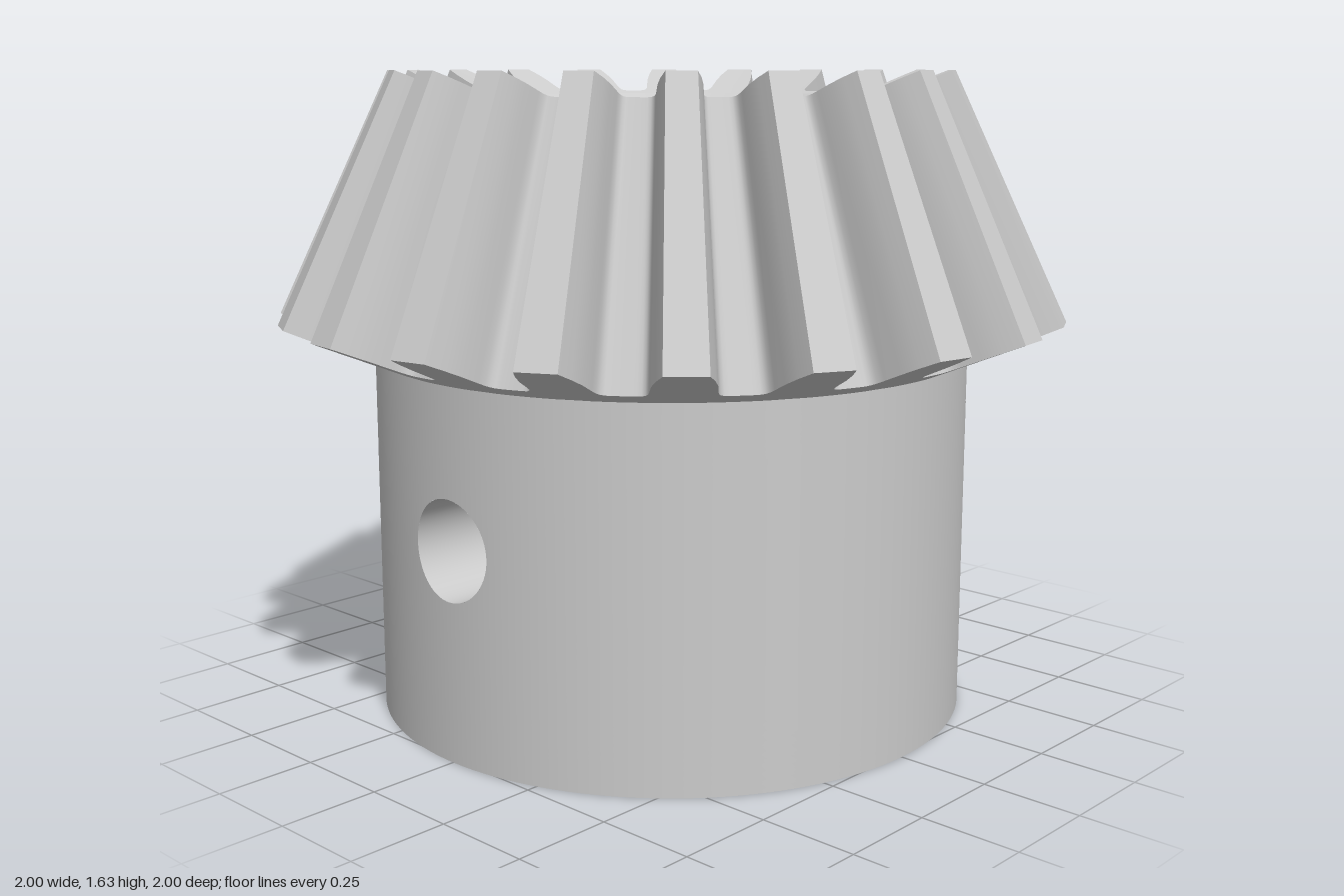
import * as THREE from 'three';
import { toCreasedNormals } from 'three/addons/utils/BufferGeometryUtils.js';

const TEETH = 20, HUB_R = 0.765, BORE_R = 0.525, HOLE_R = 0.125, HOLE_Y = 0.525;
const DEG = Math.PI / 180;
const grey = new THREE.MeshStandardMaterial({ color: 0xcccccc });
const greyDouble = new THREE.MeshStandardMaterial({ color: 0xcccccc, side: THREE.DoubleSide });

function indexed(positions, index) {
  const g = new THREE.BufferGeometry();
  g.setAttribute('position', new THREE.Float32BufferAttribute(positions, 3));
  g.setIndex(index);
  return g;
}

function add(group, name, geometry, material = grey) {
  const mesh = new THREE.Mesh(geometry, material);
  mesh.name = name;
  group.add(mesh);
  return mesh;
}

// Conical or flat ring between two (radius, height) points
function ring(r0, y0, r1, y1) {
  return new THREE.LatheGeometry([new THREE.Vector2(r0, y0), new THREE.Vector2(r1, y1)], 120);
}

// Toothed cone: half a tooth as [radius, degrees from tooth centre], mirrored and repeated
function toothedCone() {
  const flank = [[1.006, 2.8], [0.96, 3.75], [0.915, 4.45], [0.865, 4.9], [0.845, 5.15],
    [0.833, 5.6], [0.827, 6.2], [0.825, 7], [0.825, 9]];
  const tooth = [...flank.slice(0, -1).reverse().map(([r, a]) => [r, -a]), ...flank];
  const outline = [];
  for (let t = 0; t < TEETH; t++) {
    for (const [r, a] of tooth) outline.push([r, (a + 9 + t * 360 / TEETH) * DEG]);
  }
  const backY = r => 0.92 + (r - HUB_R) * 0.42;
  const frontY = r => 1.635 - (0.717 - r) * 0.42;
  const small = r => 0.577 + (r - 0.825) * 0.773;
  // Rows: hub edge, large end, small end, bore edge
  const rows = [
    r => [0.76, backY(0.76)],
    r => [r, backY(r)],
    r => [small(r), frontY(small(r))],
    r => [0.56, frontY(0.56)],
  ];
  const n = outline.length, pos = [], index = [];
  rows.forEach((row, k) => outline.forEach(([r, a], j) => {
    const [rad, y] = row(r);
    pos.push(rad * Math.sin(a), y, rad * Math.cos(a));
    if (k < rows.length - 1) {
      const p = k * n + j, q = k * n + (j + 1) % n;
      index.push(p, q, p + n, q, q + n, p + n);
    }
  }));
  return toCreasedNormals(indexed(pos, index), 0.75);
}

// Half a cylinder wall with a round cross hole: a grid from the hole out to the wall's border
function piercedWall(R, y0, y1, inward) {
  const W = Math.PI / 2, border = [];
  const side = (a0, b0, a1, b1, n) => {
    for (let i = 0; i < n; i++) border.push([a0 + (a1 - a0) * i / n, b0 + (b1 - b0) * i / n]);
  };
  side(-W, y0, W, y0, 72);
  side(W, y0, W, y1, 16);
  side(W, y1, -W, y1, 72);
  side(-W, y1, -W, y0, 16);
  const steps = 20, pos = [], normals = [], index = [], s = inward ? -1 : 1;
  border.forEach(([theta, y], i) => {
    const a = Math.atan2(y - HOLE_Y, theta * R);
    const holeTheta = Math.asin(HOLE_R * Math.cos(a) / R);
    const holeY = HOLE_Y + HOLE_R * Math.sin(a);
    for (let k = 0; k <= steps; k++) {
      const t = k / steps;
      const th = holeTheta + (theta - holeTheta) * t;
      pos.push(R * Math.sin(th), holeY + (y - holeY) * t, R * Math.cos(th));
      normals.push(s * Math.sin(th), 0, s * Math.cos(th));
      if (k < steps) {
        const p = i * (steps + 1) + k, q = ((i + 1) % border.length) * (steps + 1) + k;
        if (inward) index.push(p, q + 1, p + 1, p, q, q + 1);
        else index.push(p, p + 1, q + 1, p, q + 1, q);
      }
    }
  });
  const g = indexed(pos, index);
  g.setAttribute('normal', new THREE.Float32BufferAttribute(normals, 3));
  return g;
}

// Lining of the cross hole, its ends following the hub and bore curves
function holeLining() {
  const g = new THREE.CylinderGeometry(HOLE_R, HOLE_R, 1, 64, 1, true).rotateX(Math.PI / 2);
  const p = g.attributes.position;
  for (let i = 0; i < p.count; i++) {
    const R = p.getZ(i) > 0 ? HUB_R : BORE_R;
    p.setZ(i, Math.sqrt(R * R - p.getX(i) ** 2));
  }
  return g.translate(0, HOLE_Y, 0);
}

export function createModel() {
  const model = new THREE.Group();
  model.name = 'bevelGear';

  add(model, 'toothedCone', toothedCone());

  // Hub, bore and cross hole, front and back halves
  const hubWall = piercedWall(HUB_R, 0, 0.922, false);
  const boreWall = piercedWall(BORE_R, 0.02, 1.54, true);
  const lining = holeLining();
  for (const [label, turn] of [['front', 0], ['back', Math.PI]]) {
    const half = new THREE.Group();
    half.name = label + 'HubHalf';
    half.rotation.y = turn;
    add(half, label + 'HubWall', hubWall);
    add(half, label + 'BoreWall', boreWall);
    add(half, label + 'CrossHole', lining, greyDouble);
    model.add(half);
  }

  // End face and bore chamfers
  add(model, 'hubEndFace', ring(0.548, 0, HUB_R, 0));
  add(model, 'lowerBoreChamfer', ring(BORE_R, 0.02, 0.548, 0));
  add(model, 'upperBoreChamfer', ring(0.56, 1.569, BORE_R, 1.54));
  return model;
}
